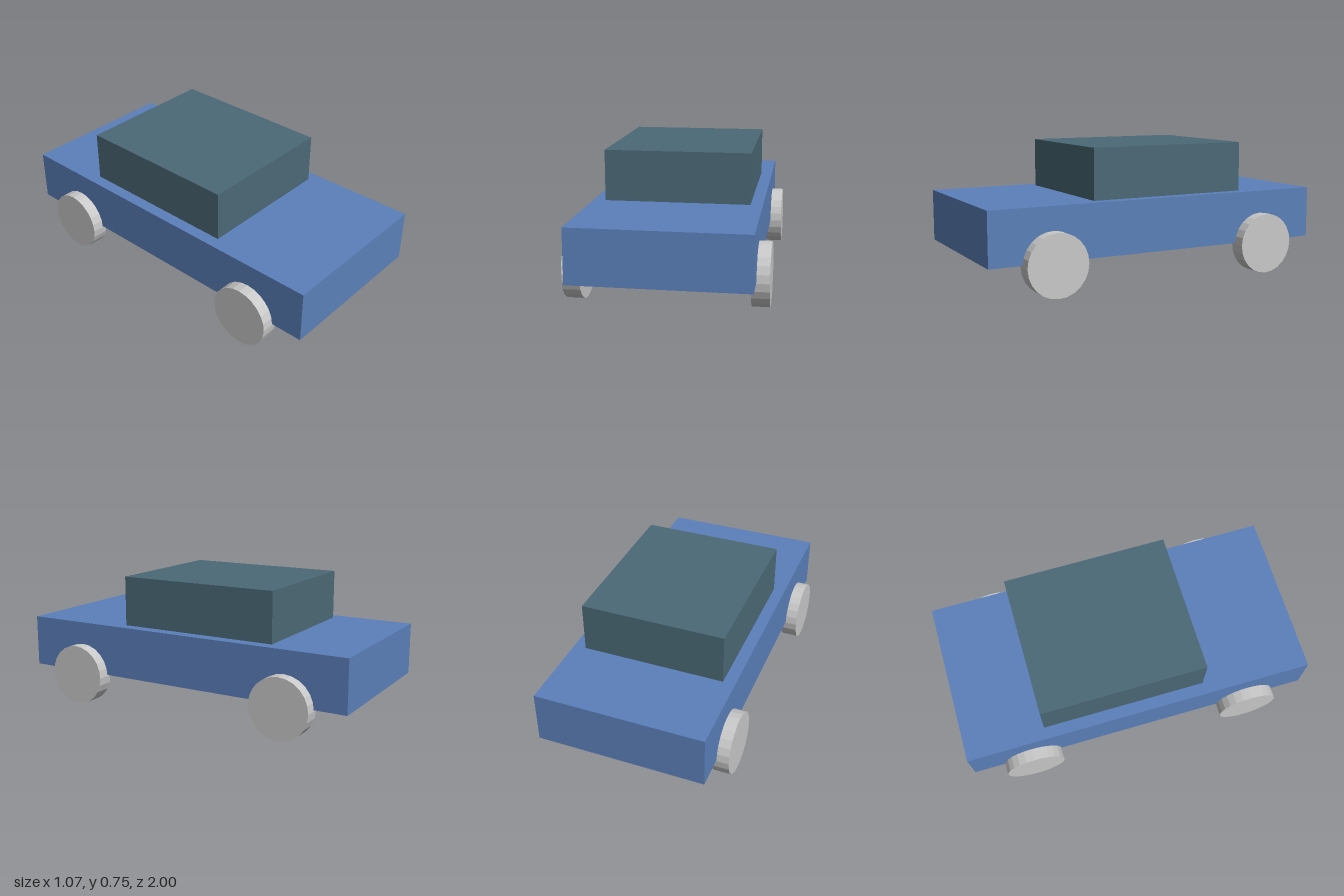
import * as THREE from 'three';

export function createModel() {
  const car = new THREE.Group();
  car.name = 'car';

  const paint = (name, color) => {
    const m = new THREE.MeshStandardMaterial({ color });
    m.name = name;
    return m;
  };
  const bodyBlue = paint('bodyBlue', 0x5b80ba);
  const cabinTeal = paint('cabinTeal', 0x4b6976);
  const wheelGrey = paint('wheelGrey', 0xc9c9c9);

  const add = (name, geometry, material, x, y, z) => {
    const mesh = new THREE.Mesh(geometry, material);
    mesh.name = name;
    mesh.position.set(x, y, z);
    car.add(mesh);
  };

  // Body slab and the cabin, set slightly towards the back
  add('body', new THREE.BoxGeometry(0.932, 0.292, 2), bodyBlue, 0, 0.322, 0);
  add('cabin', new THREE.BoxGeometry(0.798, 0.28, 0.931), cabinTeal, 0, 0.608, -0.08);

  // Four faceted wheels, axles along x; non-indexed normals give flat facets
  const wheel = new THREE.CylinderGeometry(0.17, 0.17, 0.094, 24).rotateZ(Math.PI / 2).toNonIndexed();
  wheel.computeVertexNormals();
  for (const [side, x] of [['Left', 0.486], ['Right', -0.486]]) {
    for (const [end, z] of [['front', 0.65], ['back', -0.65]]) {
      add(`${end}${side}Wheel`, wheel, wheelGrey, x, 0.17, z);
    }
  }
  return car;
}
